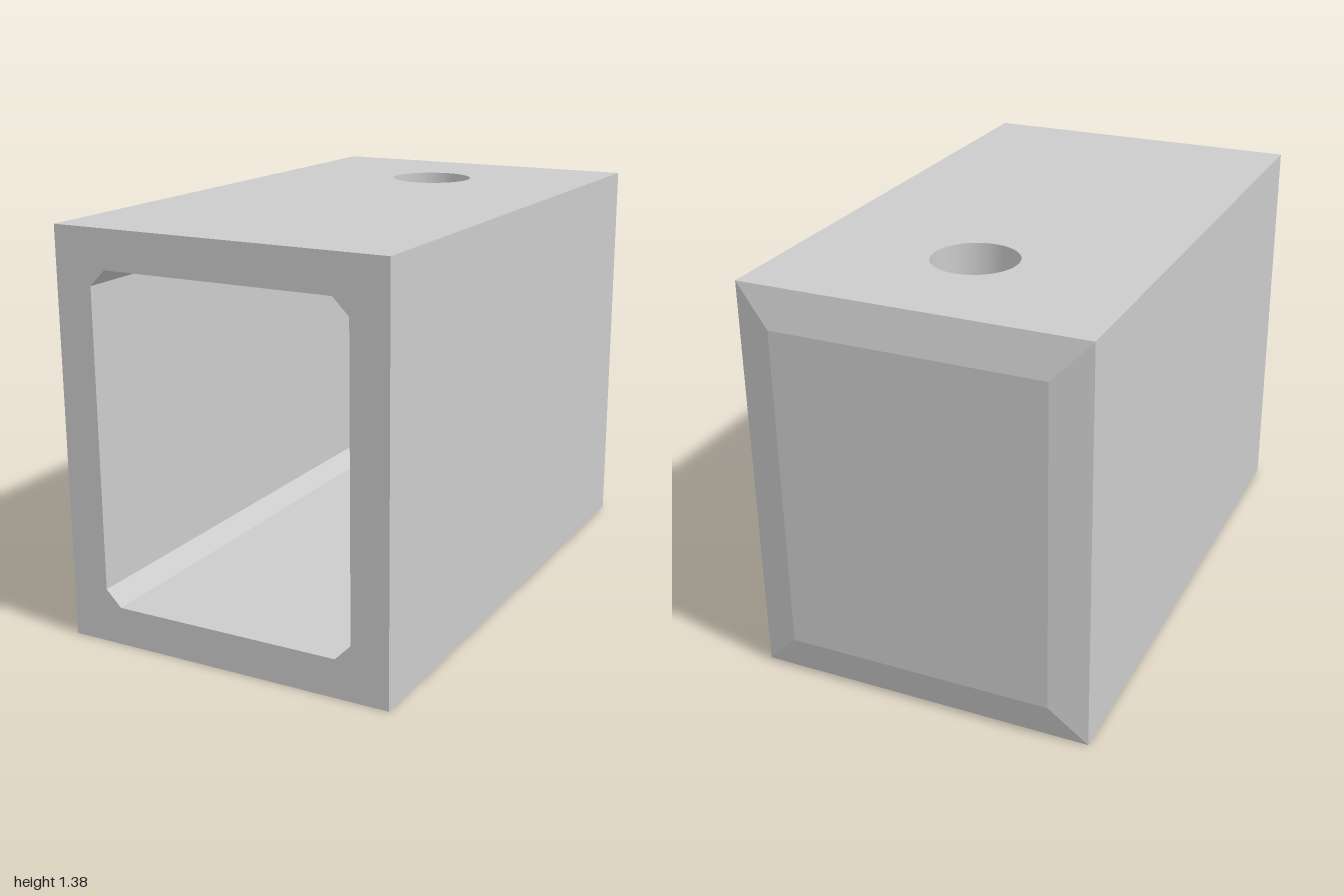
import * as THREE from 'three';
import { toCreasedNormals, mergeGeometries } from 'three/addons/utils/BufferGeometryUtils.js';

const W = 0.585, H = 1.385, BACK = -0.965;      // outer body
const X = 0.455, Y0 = 0.13, Y1 = 1.255, C = 0.055; // cavity section
const INNER = -0.82, WALL = -0.87, PIN = -0.505; // cavity depths, pin axis

const rect = (w, y0, y1) => [[w, y0], [w, y1], [-w, y1], [-w, y0]];

// Bands between a front and a back ring, both counter-clockwise seen from +z
function loft(a, za, b, zb, inward = false, skip = []) {
  const pos = [];
  a.forEach((p, i) => {
    if (skip.includes(i)) return;
    const j = (i + 1) % a.length;
    const q = [[...p, za], [...b[i], zb], [...b[j], zb], [...a[j], za]];
    if (inward) q.reverse();
    for (const k of [0, 1, 2, 0, 2, 3]) pos.push(...q[k]);
  });
  const g = new THREE.BufferGeometry();
  g.setAttribute('position', new THREE.Float32BufferAttribute(pos, 3));
  g.computeVertexNormals();
  return g;
}

const polygon = (pts) => new THREE.Shape(pts.map(([x, y]) => new THREE.Vector2(x, y)));

function flat(shape) {
  const g = new THREE.ShapeGeometry(shape, 32).toNonIndexed();
  g.deleteAttribute('uv');
  return g;
}

// Horizontal plate with a round hole on the pin axis, facing up (1) or down (-1)
function plate(halfWidth, zBack, y, radius, facing) {
  const s = polygon([[-halfWidth, -facing], [halfWidth, -facing],
    [halfWidth, -facing * zBack], [-halfWidth, -facing * zBack]]);
  s.holes.push(new THREE.Path().absarc(0, -facing * PIN, radius, 0, Math.PI * 2, true));
  return flat(s).rotateX(-facing * Math.PI / 2).translate(0, y, 0);
}

export function createModel() {
  const group = new THREE.Group();
  const solid = new THREE.MeshStandardMaterial({ color: 0xcccccc });
  const open = new THREE.MeshStandardMaterial({ color: 0xcccccc, side: THREE.DoubleSide });
  const add = (name, geometry, material = solid, parent = group) => {
    const m = new THREE.Mesh(geometry, material);
    m.name = name;
    parent.add(m);
    return m;
  };

  // Outer box with bevelled closed end
  const outer = rect(W, 0, H), end = rect(0.46, 0.13, 1.255);
  const octagon = [[X, Y0 + C], [X, Y1 - C], [X - C, Y1], [C - X, Y1],
    [-X, Y1 - C], [-X, Y0 + C], [C - X, Y0], [X - C, Y0]];
  const rim = polygon(outer);
  rim.holes.push(new THREE.Path(polygon(octagon).getPoints()));
  add('housing', mergeGeometries([
    loft(outer, 1, outer, BACK, false, [1, 3]),
    loft(outer, BACK, end, -1),
    flat(polygon(end)).rotateY(Math.PI).translate(0, 0, -1),
    flat(rim).translate(0, 0, 1),
    plate(W, BACK, H, 0.145, 1),
    plate(W, BACK, 0, 0.17, -1),
  ]));

  // Cavity with chamfered corners and a chamfered far end
  const far = rect(0.405, 0.185, 1.205);
  const farRing = [0, 1, 1, 2, 2, 3, 3, 0].map((i) => far[i]);
  add('cavity', mergeGeometries([
    loft(octagon, 1, octagon, INNER, true, [2, 6]),
    loft(octagon, INNER, farRing, WALL, true),
    flat(polygon(far)).translate(0, 0, WALL),
    plate(X - C, INNER, Y1, 0.145, -1),
    plate(X - C, INNER, Y0, 0.11, 1),
  ]));

  // Pin bores through the top and the stepped bottom wall
  const bore = (name, profile) => {
    const g = new THREE.LatheGeometry(profile.map(([r, y]) => new THREE.Vector2(r, y)), 48);
    add(name, toCreasedNormals(g, 0.6), open).position.z = PIN;
  };
  bore('topBore', [[0.145, Y1], [0.145, H]]);
  bore('bottomBore', [[0.17, 0], [0.17, 0.06], [0.11, 0.06], [0.11, Y0]]);

  // Forked lug on the far wall
  const lug = new THREE.Group();
  lug.name = 'forkedLug';
  group.add(lug);
  const extrude = (shape, depth) => toCreasedNormals(
    new THREE.ExtrudeGeometry(shape, { depth, bevelEnabled: false, curveSegments: 32 }), 0.5);

  // Round-ended tines with the pin hole
  const tine = new THREE.Shape();
  tine.moveTo(0.305, -WALL);
  tine.lineTo(-0.305, -WALL);
  tine.lineTo(-0.305, -PIN);
  tine.absarc(0, -PIN, 0.305, Math.PI, Math.PI * 2, false);
  tine.holes.push(new THREE.Path().absarc(0, -PIN, 0.09, 0, Math.PI * 2, true));
  for (const [name, y, t] of [['lowerTine', 0.495, 0.105], ['upperTine', 0.79, 0.1]]) {
    add(name, extrude(tine, t).rotateX(-Math.PI / 2).translate(0, y, 0), solid, lug);
  }

  // Web with a filleted slot bottom
  const web = new THREE.Shape();
  web.moveTo(WALL, 0.6);
  web.lineTo(-0.7, 0.6);
  web.quadraticCurveTo(-0.74, 0.6, -0.74, 0.64);
  web.lineTo(-0.74, 0.75);
  web.quadraticCurveTo(-0.74, 0.79, -0.7, 0.79);
  web.lineTo(WALL, 0.79);
  add('web', extrude(web, 0.6).rotateY(-Math.PI / 2).translate(0.3, 0, 0), solid, lug);

  // Base pad with cut corners
  const pad = polygon([[0.318, 0.55], [0.318, 0.835], [0.305, 0.89], [-0.305, 0.89],
    [-0.318, 0.835], [-0.318, 0.55], [-0.305, 0.495], [0.305, 0.495]]);
  add('basePad', extrude(pad, 0.07).translate(0, 0, WALL), solid, lug);

  return group;
}
